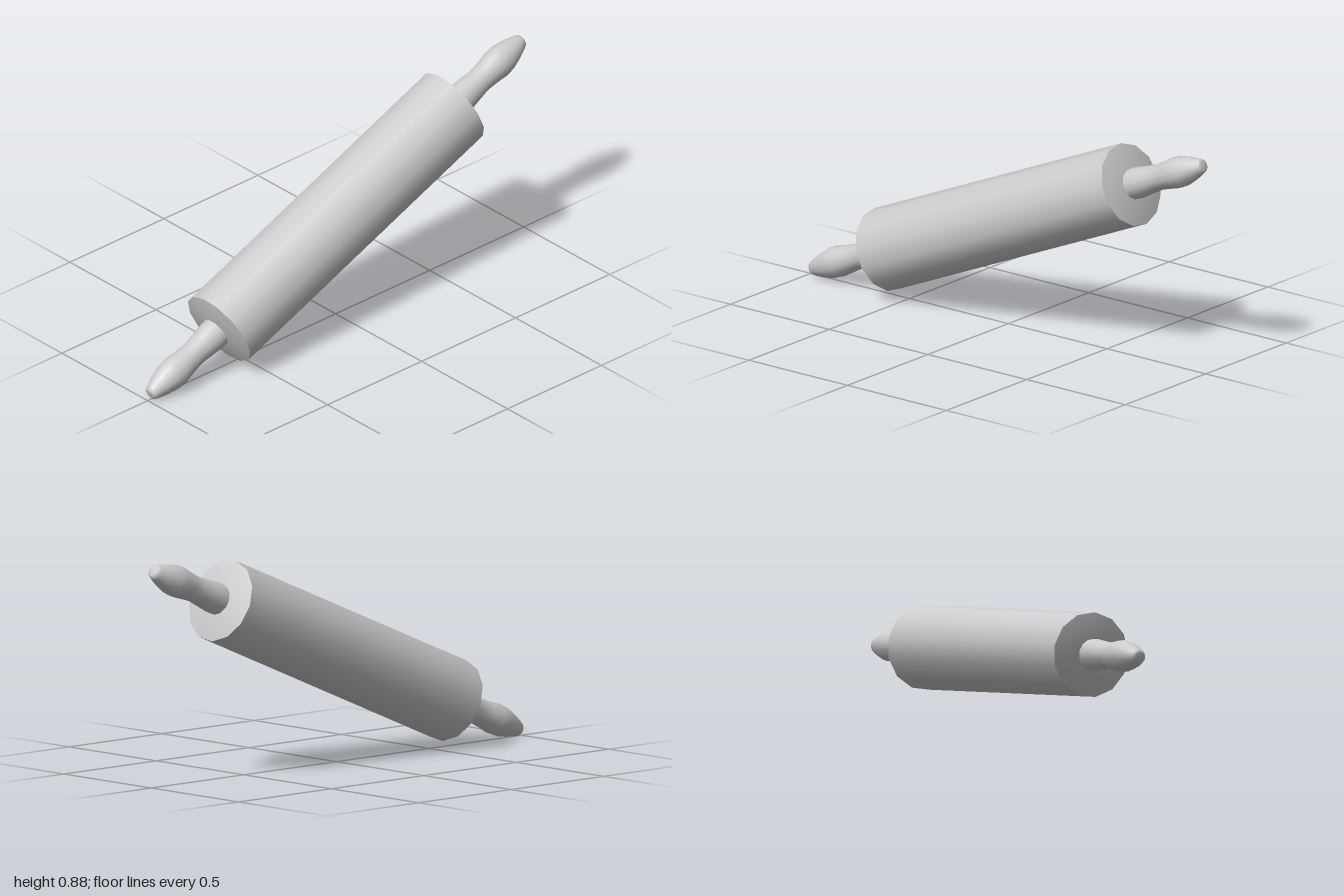
import * as THREE from 'three';

const SIDES = 13;
const RADIUS = 0.1675;
const HALF = 0.676; // half the barrel length

export function createModel() {
  const model = new THREE.Group();
  model.name = 'rollingPin';
  const material = new THREE.MeshStandardMaterial({ color: 0xcccccc });

  // Turned part around local y, with a corner facing the back
  const turned = (name, profile) => {
    const points = profile.map(([r, y]) => new THREE.Vector2(r, y));
    const mesh = new THREE.Mesh(new THREE.LatheGeometry(points, SIDES, Math.PI), material);
    mesh.name = name;
    return mesh;
  };

  // Tilted axis carrying all parts
  const pin = new THREE.Group();
  pin.name = 'tiltedPin';
  pin.position.set(0, 0.444, 0.002);
  pin.rotation.z = THREE.MathUtils.degToRad(22.9 - 90);
  model.add(pin);

  // Barrel
  pin.add(turned('barrel', [[RADIUS, -HALF], [RADIUS, HALF]]));

  // Slightly domed cap and shaped handle at each end
  for (const side of ['left', 'right']) {
    const end = new THREE.Group();
    end.name = side + 'End';
    if (side === 'right') end.rotation.z = Math.PI;
    end.add(turned(side + 'Cap', [[RADIUS, HALF], [0.12, HALF + 0.01], [0.055, HALF + 0.018], [0, HALF + 0.018]]));
    end.add(turned(side + 'Handle', [
      [0.063, HALF], [0.063, 0.72], [0.058, 0.765], [0.052, 0.825], [0.056, 0.875],
      [0.063, 0.925], [0.061, 0.965], [0.048, 1.015], [0.033, 1.057],
      [0.027, 1.07], [0.018, 1.074], [0, 1.075],
    ]));
    pin.add(end);
  }
  return model;
}
